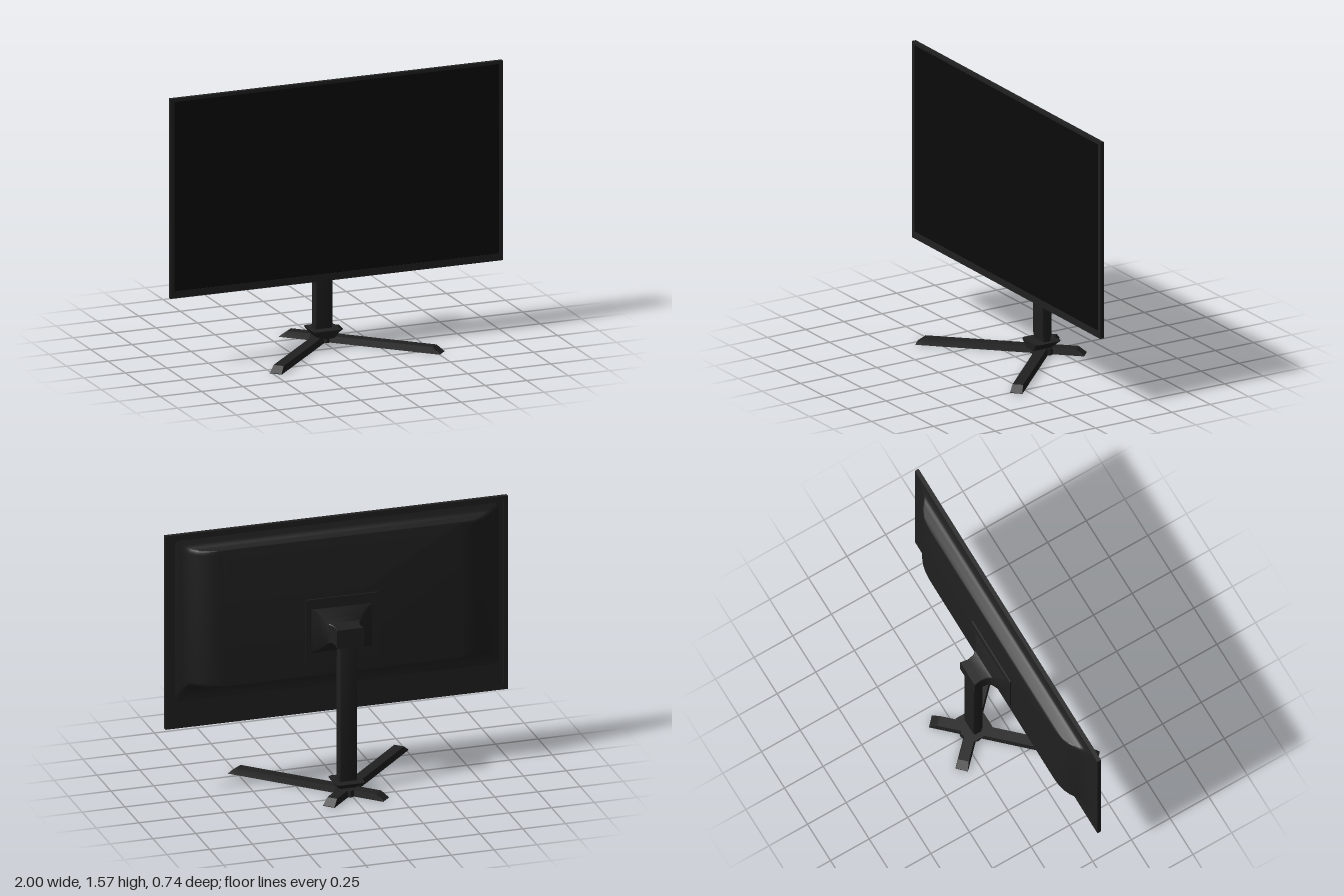
import * as THREE from 'three';
import { toCreasedNormals } from 'three/addons/utils/BufferGeometryUtils.js';

const bodyMat = new THREE.MeshStandardMaterial({ color: 0x202020 });
const screenMat = new THREE.MeshStandardMaterial({ color: 0x0a0a0a });

// Rounded rectangle loop at height z, counter-clockwise seen from +z
function ring(z, x0, x1, y0, y1, r, steps = 3) {
  const pts = [];
  const corners = [[x1 - r, y0 + r, -0.5], [x1 - r, y1 - r, 0], [x0 + r, y1 - r, 0.5], [x0 + r, y0 + r, 1]];
  for (const [cx, cy, turn] of corners) {
    for (let i = 0; i <= steps; i++) {
      const a = (turn + 0.5 * i / steps) * Math.PI;
      pts.push([cx + r * Math.cos(a), cy + r * Math.sin(a), z]);
    }
  }
  return pts;
}

// Closed solid through a list of loops running towards +z
function loft(loops, crease = 0.5) {
  const n = loops[0].length, last = loops.length - 1;
  const index = [];
  for (let i = 0; i < last; i++) {
    for (let j = 0; j < n; j++) {
      const a = i * n + j, b = i * n + (j + 1) % n;
      index.push(a, b, b + n, a, b + n, a + n);
    }
  }
  for (let j = 1; j < n - 1; j++) {
    index.push(0, j + 1, j, last * n, last * n + j, last * n + j + 1);
  }
  const geo = new THREE.BufferGeometry();
  geo.setAttribute('position', new THREE.Float32BufferAttribute(loops.flat(2), 3));
  geo.setIndex(index);
  return toCreasedNormals(geo, crease);
}

function add(parent, name, geo, mat = bodyMat) {
  const mesh = new THREE.Mesh(geo, mat);
  mesh.name = name;
  parent.add(mesh);
  return mesh;
}

function rectPath(path, x0, x1, y0, y1) {
  path.moveTo(x0, y0).lineTo(x1, y0).lineTo(x1, y1).lineTo(x0, y1).closePath();
  return path;
}

export function createModel() {
  const model = new THREE.Group();
  model.name = 'monitor';

  // Display head, turned very slightly
  const head = new THREE.Group();
  head.name = 'displayHead';
  head.rotation.y = -0.005;
  model.add(head);

  // Bezel frame with a thicker bottom edge
  const frame = rectPath(new THREE.Shape(), -1, 1, 0.415, 1.572);
  frame.holes.push(rectPath(new THREE.Path(), -0.976, 0.976, 0.455, 1.554));
  const bezel = add(head, 'bezel', new THREE.ExtrudeGeometry(frame, { depth: 0.024, bevelEnabled: false }));
  bezel.position.z = 0.035;
  add(head, 'screen', new THREE.BoxGeometry(1.954, 1.101, 0.015), screenMat).position.set(0, 1.0045, 0.049);
  add(head, 'backPanel', new THREE.BoxGeometry(1.99, 1.147, 0.012)).position.set(0, 0.9935, 0.0415);

  // Raised rear housing: z, half width, bottom, top
  const housing = [
    [-0.056, 0.70, 0.67, 1.485], [-0.053, 0.74, 0.67, 1.485], [-0.045, 0.775, 0.67, 1.485],
    [-0.03, 0.81, 0.67, 1.485], [-0.01, 0.84, 0.67, 1.485], [0.01, 0.87, 0.67, 1.487],
    [0.021, 0.89, 0.66, 1.494], [0.028, 0.91, 0.64, 1.508], [0.033, 0.94, 0.6, 1.53], [0.038, 0.95, 0.55, 1.545],
  ];
  add(head, 'rearHousing', loft(housing.map(([z, w, b, t]) => ring(z, -w, w, b, t, 0.025)), 0.6));
  add(head, 'mountPlate', new THREE.BoxGeometry(0.42, 0.375, 0.014)).position.set(0, 0.943, -0.058);

  // Flared neck ending in a square block: z, half width, bottom, top
  const neck = [
    [-0.215, 0.08, 0.88, 0.99], [-0.17, 0.073, 0.88, 0.99], [-0.13, 0.08, 0.88, 0.99],
    [-0.11, 0.095, 0.876, 0.994], [-0.09, 0.12, 0.85, 1.03], [-0.075, 0.15, 0.828, 1.057], [-0.062, 0.185, 0.81, 1.075],
  ];
  add(model, 'neck', loft(neck.map(([z, w, b, t]) => ring(z, -w, w, b, t, 0.004, 1))));

  // Upright column: height, half depth
  const column = [[0.06, 0.026], [0.09, 0.027], [0.11, 0.032], [0.79, 0.032], [0.85, 0.026], [0.9, 0.023]];
  const columnGeo = loft(column.map(([y, d]) => ring(y, -0.045, 0.061, 0.172 - d, 0.172 + d, 0.012)));
  add(model, 'column', columnGeo.rotateX(-Math.PI / 2));

  // Collar where the column meets the feet
  const collar = loft([
    ring(0.03, -0.042, 0.058, 0.09, 0.2, 0.012, 1),
    ring(0.066, -0.072, 0.088, 0.086, 0.238, 0.015, 1),
    ring(0.075, -0.077, 0.093, 0.085, 0.25, 0.015, 1),
  ], 0.3);
  add(model, 'collar', collar.rotateX(-Math.PI / 2));

  // Four feet with sloping tips, spread from one hub
  const base = new THREE.Group();
  base.name = 'base';
  base.position.set(0.01, 0, -0.18);
  model.add(base);
  const footSection = (z, h, top) => [[-0.036, 0, z], [0.036, 0, z], [top, h, z], [-top, h, z]];
  const tips = [
    ['frontRightFoot', -0.487, 0.342], ['frontLeftFoot', 0.525, 0.32],
    ['backRightFoot', -0.163, -0.35], ['backLeftFoot', 0.173, -0.352],
  ];
  for (const [name, x, z] of tips) {
    const dx = x - 0.01, dz = z + 0.18, length = Math.hypot(dx, dz);
    const foot = loft([
      footSection(0, 0.037, 0.03), footSection(length - 0.045, 0.037, 0.03), footSection(length, 0.003, 0.035),
    ], 0.2);
    add(base, name, foot).rotation.y = Math.atan2(dx, dz);
  }
  const hub = new THREE.CylinderGeometry(0.07, 0.075, 0.036, 8).toNonIndexed();
  hub.computeVertexNormals();
  add(base, 'hub', hub).position.y = 0.018;

  return model;
}
